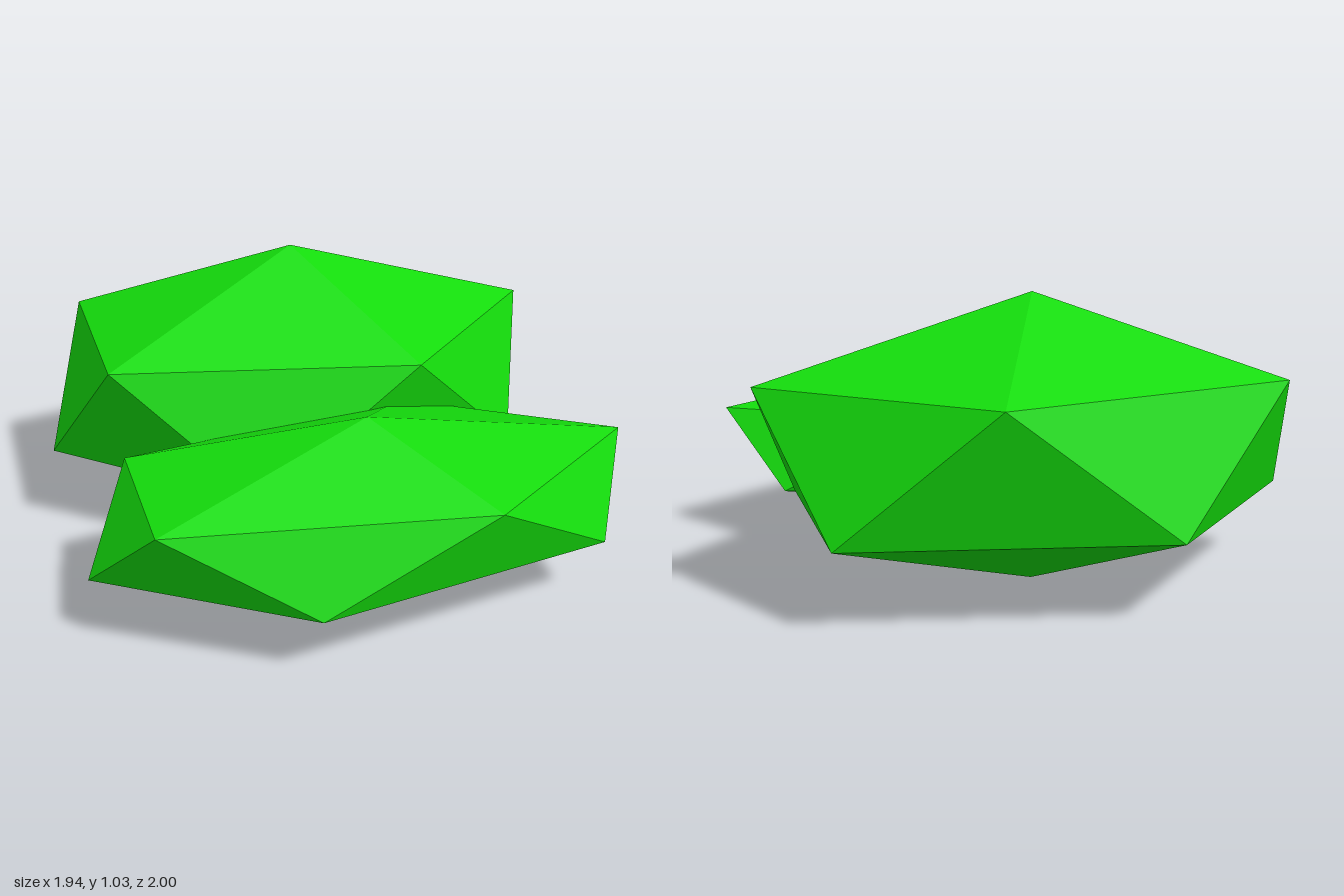
import * as THREE from 'three';

// Unit icosahedron standing on a point, with one upper-ring corner on +x
function uprightIcosahedron() {
  const h = 1 / Math.sqrt(5), r = 2 * h;
  const corners = [0, 1, 0, 0, -1, 0];
  const faces = [];
  for (let i = 0; i < 5; i++) {
    const a = i * Math.PI * 2 / 5, b = a + Math.PI / 5;
    corners.push(r * Math.cos(a), h, r * Math.sin(a));
    corners.push(r * Math.cos(b), -h, r * Math.sin(b));
    const j = (i + 1) % 5;
    const u0 = 2 + 2 * i, l0 = u0 + 1, u1 = 2 + 2 * j, l1 = u1 + 1;
    faces.push(0, u1, u0, u0, u1, l0, l0, u1, l1, l0, l1, 1);
  }
  return new THREE.PolyhedronGeometry(corners, faces, 1, 0);
}

export function createModel() {
  const group = new THREE.Group();
  group.name = 'bush';
  const leaf = new THREE.MeshStandardMaterial({ color: 0x14dc0c, flatShading: true });

  // Stretched foliage clumps: half sizes and centre
  const addClump = (name, size, centre) => {
    const mesh = new THREE.Mesh(uprightIcosahedron().scale(...size), leaf);
    mesh.position.set(...centre);
    mesh.name = name;
    group.add(mesh);
  };
  addClump('largeClump', [1.081, 0.515, 0.758], [-0.007, 0.516, -0.355]);
  addClump('smallClump', [1.081, 0.318, 0.548], [0.003, 0.373, 0.533]);

  return group;
}
